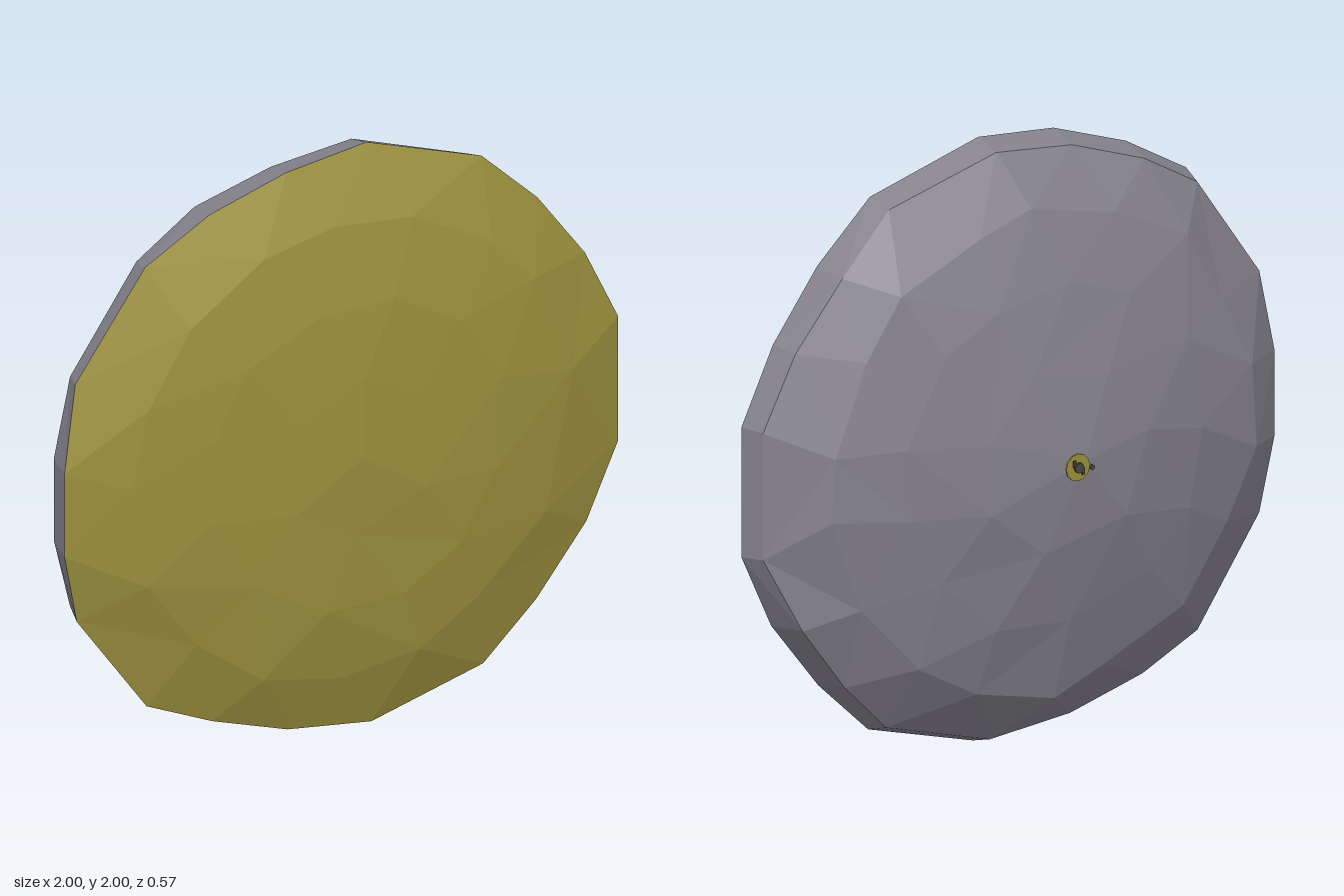
import * as THREE from 'three';

const gold = new THREE.MeshStandardMaterial({ color: 0x9c913e, flatShading: true });
gold.name = 'ochre';
const grey = new THREE.MeshStandardMaterial({ color: 0x85828c, flatShading: true });
grey.name = 'stone grey';
const dark = new THREE.MeshStandardMaterial({ color: 0x4a473c, flatShading: true });
dark.name = 'dark metal';

// Rim corners, counter-clockwise: x, height from centre, rim z, z of the back edge of the rim band
const RIM = [
  [1.00, 0.20, 0.13, 0.05], [0.88, 0.45, 0.13, 0.04], [0.71, 0.68, 0.13, 0.02], [0.51, 0.87, 0.13, 0.045],
  [0.11, 1.00, 0.11, 0.015], [-0.19, 0.97, 0.13, 0.02], [-0.46, 0.88, 0.12, 0.00], [-0.69, 0.75, 0.12, 0.03],
  [-0.94, 0.40, 0.12, 0.04], [-1.00, 0.12, 0.16, 0.04], [-1.00, -0.17, 0.16, 0.04], [-0.94, -0.42, 0.13, 0.04],
  [-0.69, -0.77, 0.13, 0.03], [-0.46, -0.87, 0.14, 0.01], [-0.19, -0.96, 0.14, 0.03], [0.11, -1.00, 0.14, 0.05],
  [0.51, -0.89, 0.14, 0.06], [0.70, -0.71, 0.14, 0.02], [0.88, -0.48, 0.14, 0.00], [1.00, -0.23, 0.13, 0.05],
];

function seeded(seed) {
  return () => {
    seed = (seed * 16807) % 2147483647;
    return seed / 2147483647 - 0.5;
  };
}

// Slightly irregular ring of points
function ring(count, radius, z, rand) {
  return Array.from({ length: count }, (_, i) => {
    const a = ((i + 0.5 + rand() * 0.35) / count) * Math.PI * 2;
    const r = radius * (1 + rand() * 0.07);
    return [Math.cos(a) * r, Math.sin(a) * r, z + rand() * 0.016];
  });
}

// Angle of a ring point, continuing past a full turn
function angle(points, i) {
  const n = points.length;
  const p = points[i % n];
  const a = Math.atan2(p[1], p[0]);
  return (a < 0 ? a + Math.PI * 2 : a) + Math.floor(i / n) * Math.PI * 2;
}

// Faceted shell from rings listed outside to inside, closed by an apex
function shell(name, material, rings, apex, facesBack) {
  const pos = [];
  const tri = (a, b, c) => pos.push(...a, ...(facesBack ? c : b), ...(facesBack ? b : c));
  for (let k = 0; k + 1 < rings.length; k++) {
    const [outer, inner] = [rings[k], rings[k + 1]];
    const n = outer.length, m = inner.length;
    let a = 0, b = 0;
    while (a < n || b < m) {
      if (a < n && (b >= m || angle(outer, a + 1) <= angle(inner, b + 1))) {
        tri(outer[a % n], outer[(a + 1) % n], inner[b % m]);
        a++;
      } else {
        tri(outer[a % n], inner[(b + 1) % m], inner[b % m]);
        b++;
      }
    }
  }
  const last = rings[rings.length - 1];
  last.forEach((p, i) => tri(p, last[(i + 1) % last.length], apex));
  const geo = new THREE.BufferGeometry();
  geo.setAttribute('position', new THREE.Float32BufferAttribute(pos, 3));
  geo.computeVertexNormals();
  const mesh = new THREE.Mesh(geo, material);
  mesh.name = name;
  mesh.position.y = 1;
  return mesh;
}

export function createModel() {
  const model = new THREE.Group();
  model.name = 'domedDisc';
  const rand = seeded(4127);
  const rim = RIM.map(([x, y, z]) => [x, y, z]);
  const bandEdge = RIM.map(([x, y, , z]) => [x * 0.973, y * 0.973, z]);

  // Shallow front face
  model.add(shell('frontFace', gold, [
    rim, ring(17, 0.78, 0.213, rand), ring(12, 0.54, 0.256, rand), ring(6, 0.27, 0.278, rand),
  ], [0, 0, 0.287], false));

  // Rim band and deeper back dome
  model.add(shell('backShell', grey, [
    rim, bandEdge, ring(18, 0.8, -0.09, rand), ring(13, 0.57, -0.16, rand), ring(7, 0.31, -0.22, rand),
  ], [-0.05, 0, -0.255], true));

  // Small fitting in the middle of the back
  const fitting = new THREE.Group();
  fitting.name = 'backFitting';
  fitting.position.set(-0.005, 0.99, 0);
  const disc = (name, mat, r, depth, x, y, z) => {
    const mesh = new THREE.Mesh(new THREE.CylinderGeometry(r, r, depth, 12).rotateX(Math.PI / 2), mat);
    mesh.name = name;
    mesh.position.set(x, y, z);
    fitting.add(mesh);
  };
  disc('fittingStem', dark, 0.008, 0.05, 0, 0, -0.257);
  disc('fittingPlate', gold, 0.045, 0.006, 0, 0, -0.273);
  disc('fittingHub', dark, 0.017, 0.008, 0, 0, -0.281);
  disc('fittingStud', dark, 0.008, 0.03, -0.065, -0.015, -0.248);
  for (const s of [-1, 1]) {
    const bar = new THREE.Mesh(new THREE.BoxGeometry(0.01, 0.022, 0.006), dark);
    bar.name = 'fittingBar';
    bar.position.set(s * 0.016, s * 0.014, -0.28);
    fitting.add(bar);
  }
  model.add(fitting);
  return model;
}
